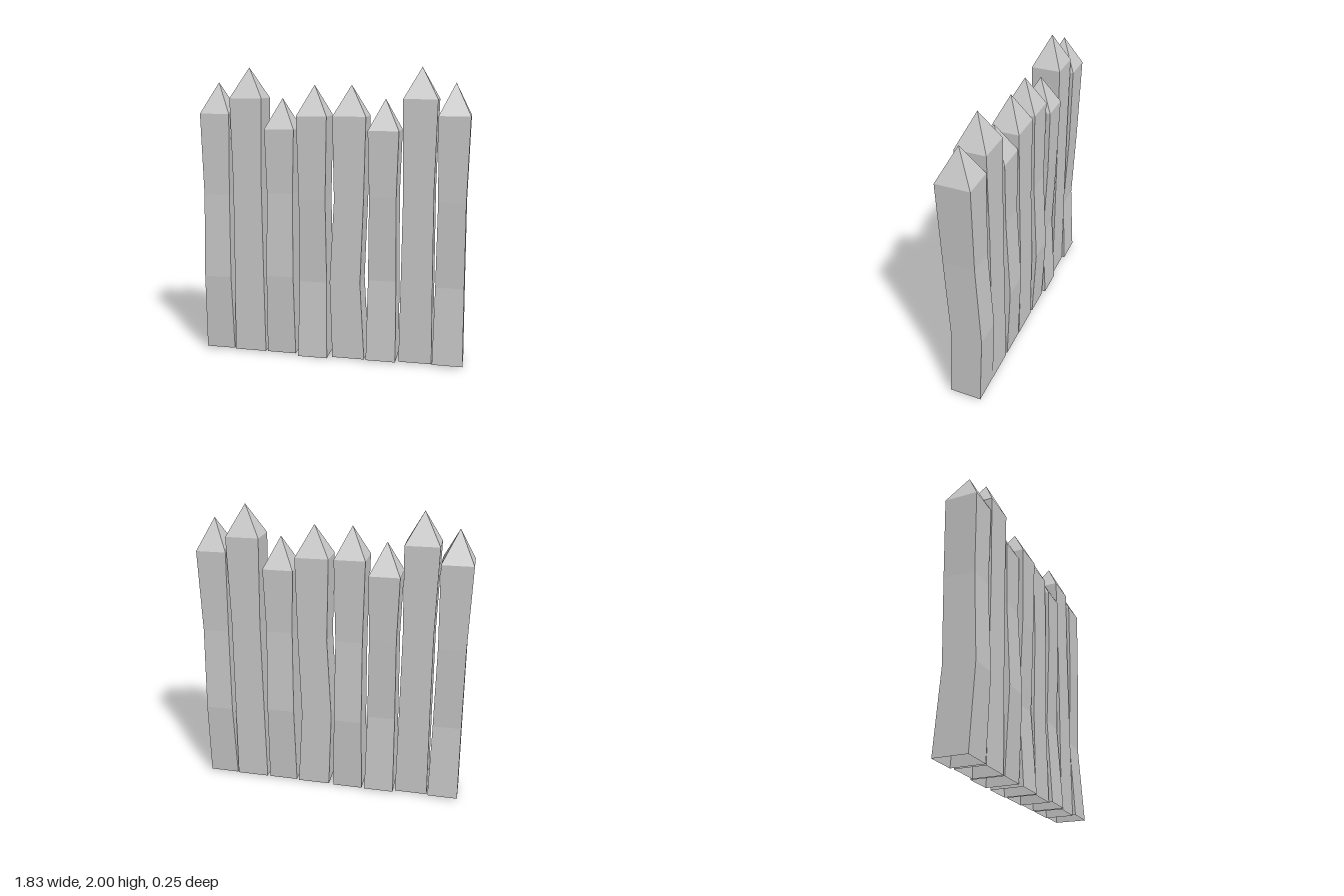
import * as THREE from 'three';

const material = new THREE.MeshStandardMaterial({
  color: 0xcccccc, flatShading: true, side: THREE.DoubleSide,
});

// Each stake: x0/x1 = sides, base/top/tip = heights, mid = heights of the two
// bends, bow = direction of the bend in z (0 = straight), lean = x shift per bend
const stakes = [
  { x0: -0.915, x1: -0.708, base: 0.015, mid: [0.55, 1.13], top: 1.69, tip: 1.9, bow: 1 },
  { x0: -0.7, x1: -0.475, base: 0.01, mid: [0.6, 1.2], top: 1.795, tip: 2, bow: 0 },
  { x0: -0.46, x1: -0.255, base: 0.01, mid: [0.575, 1.155], top: 1.59, tip: 1.795, bow: 1 },
  { x0: -0.232, x1: -0.025, base: 0, mid: [0.54, 1.12], top: 1.68, tip: 1.885, bow: -1 },
  { x0: 0.01, x1: 0.235, base: 0.005, mid: [0.55, 1.12], top: 1.68, tip: 1.885, bow: 0, lean: [-0.025, 0] },
  { x0: 0.25, x1: 0.455, base: 0.01, mid: [0.575, 1.155], top: 1.59, tip: 1.795, bow: -1 },
  { x0: 0.475, x1: 0.7, base: 0.01, mid: [0.6, 1.2], top: 1.795, tip: 2, bow: 0 },
  { x0: 0.705, x1: 0.91, base: 0.015, mid: [0.55, 1.13], top: 1.69, tip: 1.9, bow: -1 },
];

const inset = [0, 0.007, 0.012, 0];            // slight waist at the bends
const bowShift = [-0.01, 0.018, -0.007, -0.01]; // z offset of each ring

function stakeGeometry({ x0, x1, base, mid, top, tip, bow, lean = [0, 0] }) {
  const heights = [base, ...mid, top];
  const shift = [0, ...lean, 0];
  const halfDepth = bow ? 0.11 : 0.1;

  // Square rings, counter-clockwise from above, starting front left
  const rings = heights.map((y, i) => {
    const a = x0 + inset[i] + shift[i], b = x1 - inset[i] + shift[i];
    const h = halfDepth - (bow ? inset[i] * 0.5 : 0), c = bow * bowShift[i];
    return [[a, y, c + h], [b, y, c + h], [b, y, c - h], [a, y, c - h]];
  });
  const apex = [(x0 + x1) / 2, tip, bow * bowShift[3]];

  const points = [];
  for (let s = 0; s < 4; s++) {
    const t = (s + 1) % 4;
    // Shaft walls, open at the foot
    for (let i = 0; i < 3; i++) {
      const p = rings[i], q = rings[i + 1];
      points.push(p[s], p[t], q[t], p[s], q[t], q[s]);
    }
    // Pointed tip
    points.push(rings[3][s], rings[3][t], apex);
  }
  const geometry = new THREE.BufferGeometry();
  geometry.setAttribute('position', new THREE.Float32BufferAttribute(points.flat(), 3));
  geometry.computeVertexNormals();
  return geometry;
}

export function createModel() {
  const fence = new THREE.Group();
  fence.name = 'palisadeFence';
  stakes.forEach((stake, i) => {
    const mesh = new THREE.Mesh(stakeGeometry(stake), material);
    mesh.name = `stake${i + 1}`;
    fence.add(mesh);
  });
  return fence;
}
